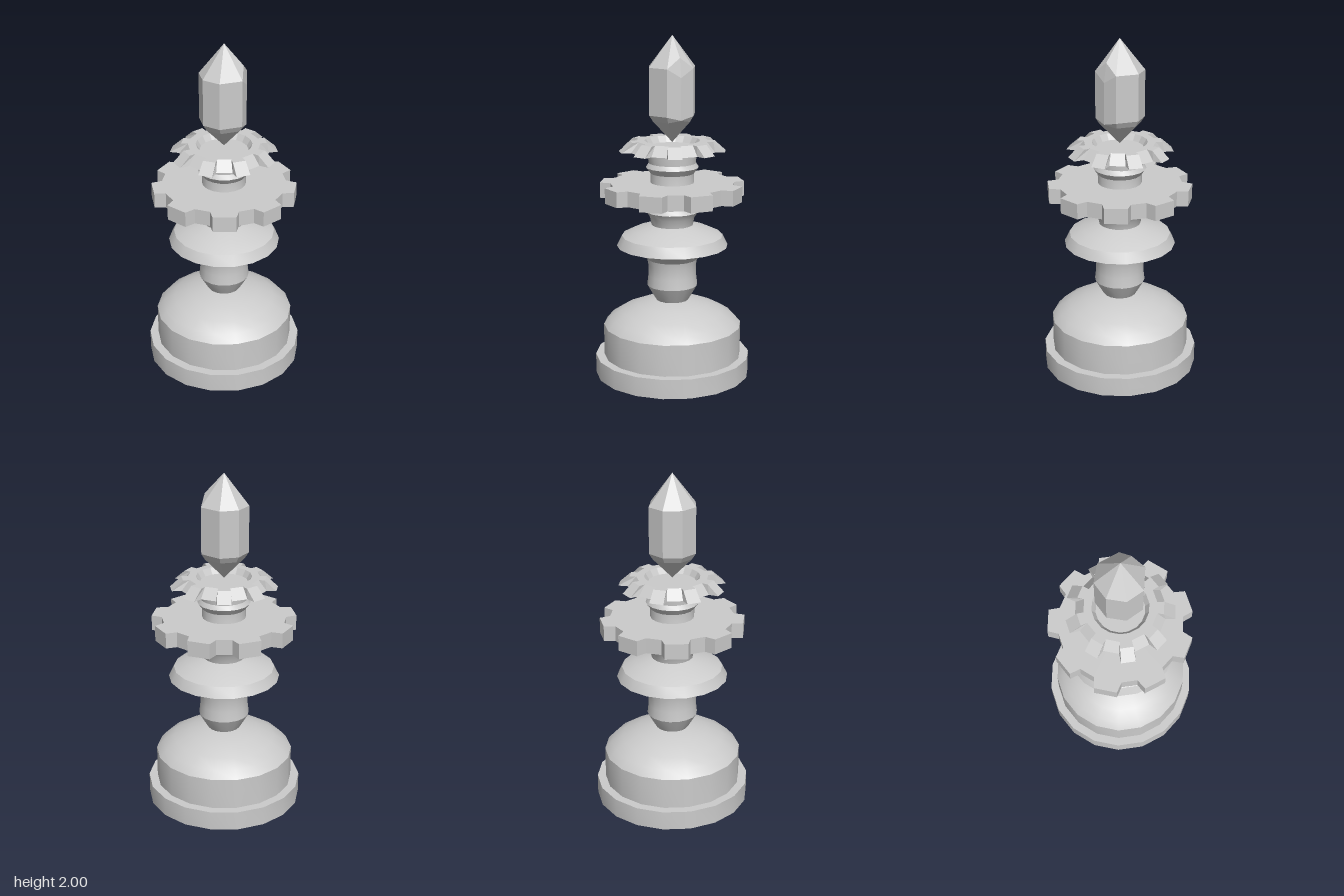
import * as THREE from 'three';
import { toCreasedNormals } from 'three/addons/utils/BufferGeometryUtils.js';
import { ConvexGeometry } from 'three/addons/geometries/ConvexGeometry.js';

const SIDES = 18, TEETH = 9, RAD = Math.PI / 180;
const smooth = new THREE.MeshStandardMaterial({ color: 0xcccccc });
const flat = new THREE.MeshStandardMaterial({ color: 0xcccccc, flatShading: true });

function add(group, name, geometry, material) {
  const mesh = new THREE.Mesh(geometry, material);
  mesh.name = name;
  group.add(mesh);
}

// Turned part from [radius, height] pairs, listed from bottom to top
function turned(profile) {
  const points = profile.map(([r, y]) => new THREE.Vector2(r, y));
  return toCreasedNormals(new THREE.LatheGeometry(points, SIDES), 32 * RAD);
}

// Toothed wheel lofted through rows, from the underside round the rim to the top.
// tip / root: radii, t / v: half angles of tooth and gap in degrees
function wheel(firstTooth, rows) {
  const rings = rows.map(({ y, tip, root = tip, t, v }) => {
    const ring = [];
    for (let k = 0; k < TEETH; k++) {
      const a = firstTooth + k * 40;
      for (const [angle, r] of [[a - t, tip], [a + t, tip], [a + 20 - v, root], [a + 20 + v, root]]) {
        ring.push([r * Math.cos(angle * RAD), y, -r * Math.sin(angle * RAD)]);
      }
    }
    return ring;
  });
  const pos = [];
  for (let i = 0; i + 1 < rings.length; i++) {
    const n = rings[i].length;
    for (let j = 0; j < n; j++) {
      const k = (j + 1) % n;
      const a = rings[i][j], b = rings[i][k], c = rings[i + 1][k], d = rings[i + 1][j];
      pos.push(...a, ...b, ...c, ...a, ...c, ...d);
    }
  }
  const geometry = new THREE.BufferGeometry();
  geometry.setAttribute('position', new THREE.Float32BufferAttribute(pos, 3));
  geometry.computeVertexNormals();
  return geometry;
}

// Eight-sided crystal with bevelled lower end and one cut-back side
function crystal() {
  const points = [new THREE.Vector3(0, 2, 0), new THREE.Vector3(0, 1.39, 0)];
  for (let k = 1; k < 8; k++) {
    const a = k * 45 * RAD;
    const cut = k === 1 || k === 7;
    const x = cut ? 0.115 : 0.142 * Math.cos(a);
    const z = cut ? 0.08 * Math.sign(Math.sin(a)) : 0.142 * Math.sin(a);
    points.push(new THREE.Vector3(x, 1.82, z), new THREE.Vector3(x, 1.55, z));
    points.push(new THREE.Vector3(x * 0.84, 1.515, z * 0.84));
  }
  points.push(new THREE.Vector3(0.127, 1.77, 0), new THREE.Vector3(0.108, 1.88, 0), new THREE.Vector3(0.127, 1.53, 0));
  return new ConvexGeometry(points);
}

export function createModel() {
  const group = new THREE.Group();
  group.name = 'ornamentalPiece';

  // Stepped base with dome
  add(group, 'base', turned([
    [0, 0], [0.456, 0], [0.456, 0.115], [0.406, 0.115], [0.406, 0.3], [0.365, 0.345],
    [0.3, 0.385], [0.21, 0.423], [0.1, 0.45], [0, 0.45],
  ]), smooth);

  // Stem with flared collar
  add(group, 'stem', turned([
    [0.09, 0.44], [0.12, 0.49], [0.148, 0.54], [0.141, 0.6], [0.14, 0.66], [0.148, 0.7],
    [0.175, 0.728], [0.23, 0.752], [0.325, 0.78], [0.295, 0.84], [0.22, 0.876], [0.12, 0.905],
  ]), smooth);

  // Ringed neck passing through both wheels
  add(group, 'neck', turned([
    [0.12, 0.895], [0.13, 0.95], [0.154, 0.985], [0.137, 1.01], [0.143, 1.065],
    [0.127, 1.155], [0.127, 1.21], [0.153, 1.245], [0.137, 1.27], [0.143, 1.345],
  ]), smooth);

  // Large flat wheel
  const mid = { t: 9, v: 7.2 };
  add(group, 'largeWheel', wheel(0, [
    { y: 1.065, tip: 0, ...mid },
    { y: 1.065, tip: 0.418, root: 0.358, ...mid },
    { y: 1.155, tip: 0.418, root: 0.358, ...mid },
    { y: 1.155, tip: 0, ...mid },
  ]), flat);

  // Small bevelled wheel with a shallow dish on top
  const even = { t: 8.8, v: 11.2 - 1 };
  add(group, 'bevelledWheel', wheel(20, [
    { y: 1.342, tip: 0, ...even },
    { y: 1.342, tip: 0.308, root: 0.254, t: 7.5, v: 10.2 },
    { y: 1.4, tip: 0.243, root: 0.205, t: 8.8, v: 11 },
    { y: 1.4, tip: 0.16, ...even },
    { y: 1.365, tip: 0.138, ...even },
    { y: 1.365, tip: 0, ...even },
  ]), flat);

  add(group, 'crystal', crystal(), flat);
  return group;
}
